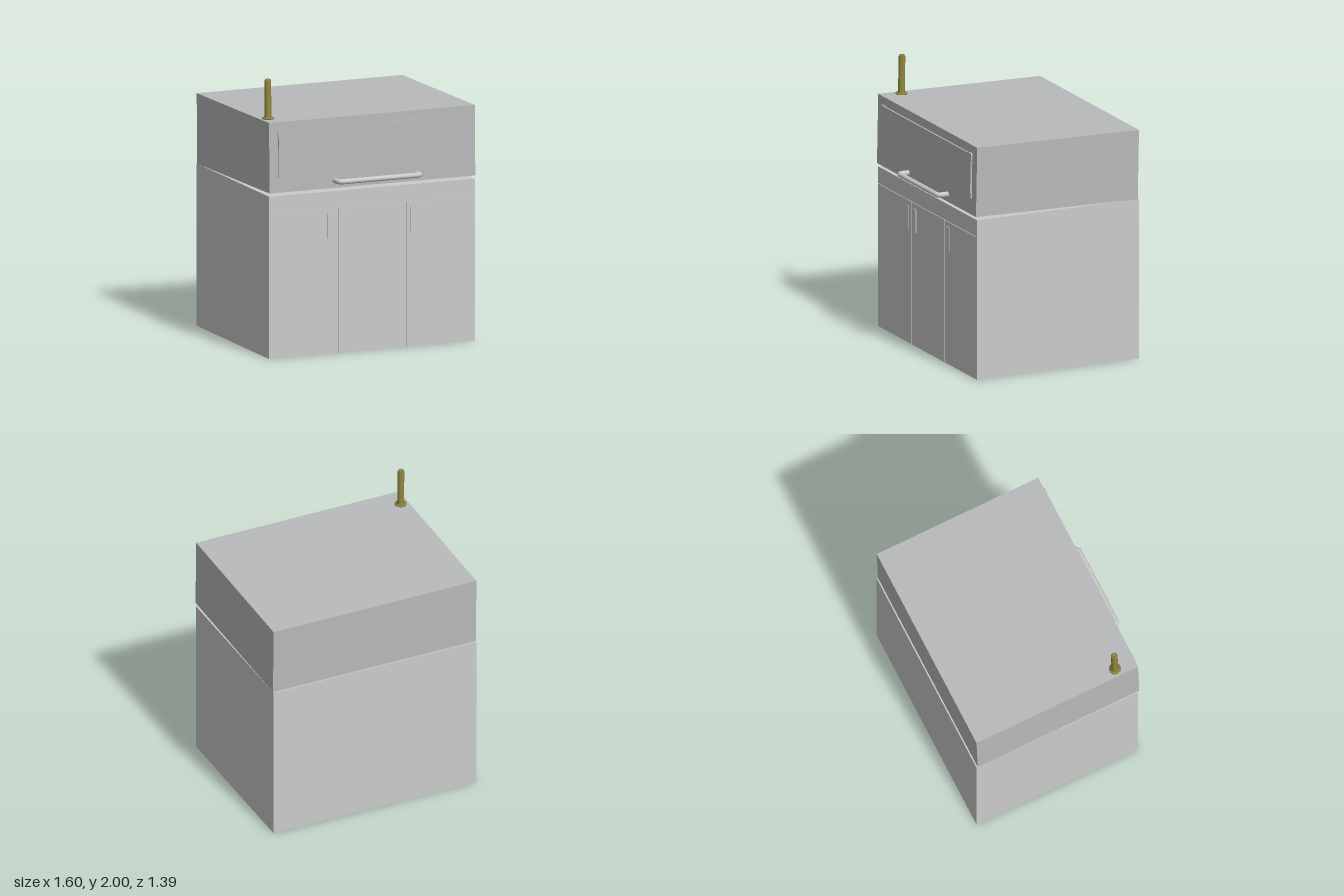
import * as THREE from 'three';

const paint = (color) => new THREE.MeshStandardMaterial({ color });
const steel = paint(0xcccccc);
const lidSteel = paint(0xb9babc);
const brass = paint(0x8f8640);

function add(parent, name, geometry, material) {
  const mesh = new THREE.Mesh(geometry, material);
  mesh.name = name;
  parent.add(mesh);
  return mesh;
}

// Box given by its minimum and maximum corners
function boxBetween(parent, name, material, [x0, y0, z0], [x1, y1, z1]) {
  const mesh = add(parent, name, new THREE.BoxGeometry(x1 - x0, y1 - y0, z1 - z0), material);
  mesh.position.set((x0 + x1) / 2, (y0 + y1) / 2, (z0 + z1) / 2);
  return mesh;
}

// Rounded rectangle whose corners step slightly outwards
function panelShape(x0, y0, x1, y1) {
  const r = 0.018, ear = 0.05, step = 0.005;
  const w = (x1 - x0) / 2, h = (y1 - y0) / 2;
  const shape = new THREE.Shape();
  for (let i = 0; i < 4; i++) {
    const a = i % 2 ? h : w, b = i % 2 ? w : h;
    const angle = (i * Math.PI) / 2, c = Math.round(Math.cos(angle)), s = Math.round(Math.sin(angle));
    const at = (x, y) => [(x0 + x1) / 2 + c * x - s * y, (y0 + y1) / 2 + s * x + c * y];
    if (i === 0) shape.moveTo(...at(-a + r, -b));
    shape.lineTo(...at(-a + ear, -b));
    shape.lineTo(...at(-a + ear + 0.012, -b + step));
    shape.lineTo(...at(a - ear - 0.012, -b + step));
    shape.lineTo(...at(a - ear, -b));
    shape.lineTo(...at(a - r, -b));
    shape.quadraticCurveTo(...at(a, -b), ...at(a, -b + r));
  }
  return shape;
}

// U-shaped bar with rounded bends
function handlePath(x0, x1, y, z0, z1, r) {
  const v = (x, z) => new THREE.Vector3(x, y, z);
  const path = new THREE.CurvePath();
  path.add(new THREE.LineCurve3(v(x0, z0), v(x0, z1 - r)));
  path.add(new THREE.QuadraticBezierCurve3(v(x0, z1 - r), v(x0, z1), v(x0 + r, z1)));
  path.add(new THREE.LineCurve3(v(x0 + r, z1), v(x1 - r, z1)));
  path.add(new THREE.QuadraticBezierCurve3(v(x1 - r, z1), v(x1, z1), v(x1, z1 - r)));
  path.add(new THREE.LineCurve3(v(x1, z1 - r), v(x1, z0)));
  return path;
}

function createCabinet() {
  const cabinet = new THREE.Group();
  cabinet.name = 'cabinet';
  const front = 0.59, back = 0.584, gap = 0.003;
  boxBetween(cabinet, 'cabinetBody', steel, [-0.8, 0, -0.695], [0.8, 1.18, back]);
  boxBetween(cabinet, 'topRail', steel, [-0.8, 1.055 + gap, back], [0.8, 1.18, front]);

  // Three doors separated by narrow grooves
  const edges = [-0.8, -0.265, 0.268, 0.8];
  for (let i = 0; i < 3; i++) {
    const x0 = edges[i] + (i > 0 ? gap : 0), x1 = edges[i + 1] - (i < 2 ? gap : 0);
    boxBetween(cabinet, 'door', steel, [x0, 0, back], [x1, 1.055 - gap, front]);
  }

  // Flat door pulls
  for (const [x0, x1] of [[-0.345, -0.308], [-0.235, -0.182], [0.3, 0.355]]) {
    boxBetween(cabinet, 'doorPull', steel, [x0, 0.84, front - 0.002], [x1, 1.015, front + 0.005]);
  }
  return cabinet;
}

function createLid() {
  // Origin on the rear hinge line, raised a little at the front
  const lid = new THREE.Group();
  lid.name = 'lid';
  lid.position.set(0, 1.18, -0.685);
  lid.rotation.x = -0.0194;
  const front = 1.284, top = 0.511;
  boxBetween(lid, 'lidBody', lidSteel, [-0.8, 0, 0], [0.8, top, front]);

  const panel = new THREE.ExtrudeGeometry(panelShape(-0.735, 0.11, 0.73, 0.452),
    { depth: 0.013, bevelEnabled: false, curveSegments: 5 });
  add(lid, 'frontPanel', panel, lidSteel).position.z = front;

  const path = handlePath(-0.292, 0.342, 0.055, front - 0.01, 1.362, 0.032);
  add(lid, 'lidHandle', new THREE.TubeGeometry(path, 96, 0.019, 16), steel);

  // Upright pin with a flange and a recessed tip
  const profile = [
    [0, 0], [0.043, 0], [0.043, 0.006], [0.038, 0.012], [0.024, 0.013], [0.024, 0.275],
    [0.02, 0.287], [0.012, 0.287], [0.012, 0.278], [0, 0.278],
  ].map(([x, y]) => new THREE.Vector2(x, y));
  const pin = add(lid, 'pin', new THREE.LatheGeometry(profile, 24), brass);
  pin.position.set(-0.74, top, 1.13);
  return lid;
}

export function createModel() {
  const model = new THREE.Group();
  model.name = 'cabinetWithLid';
  model.add(createCabinet(), createLid());
  return model;
}
